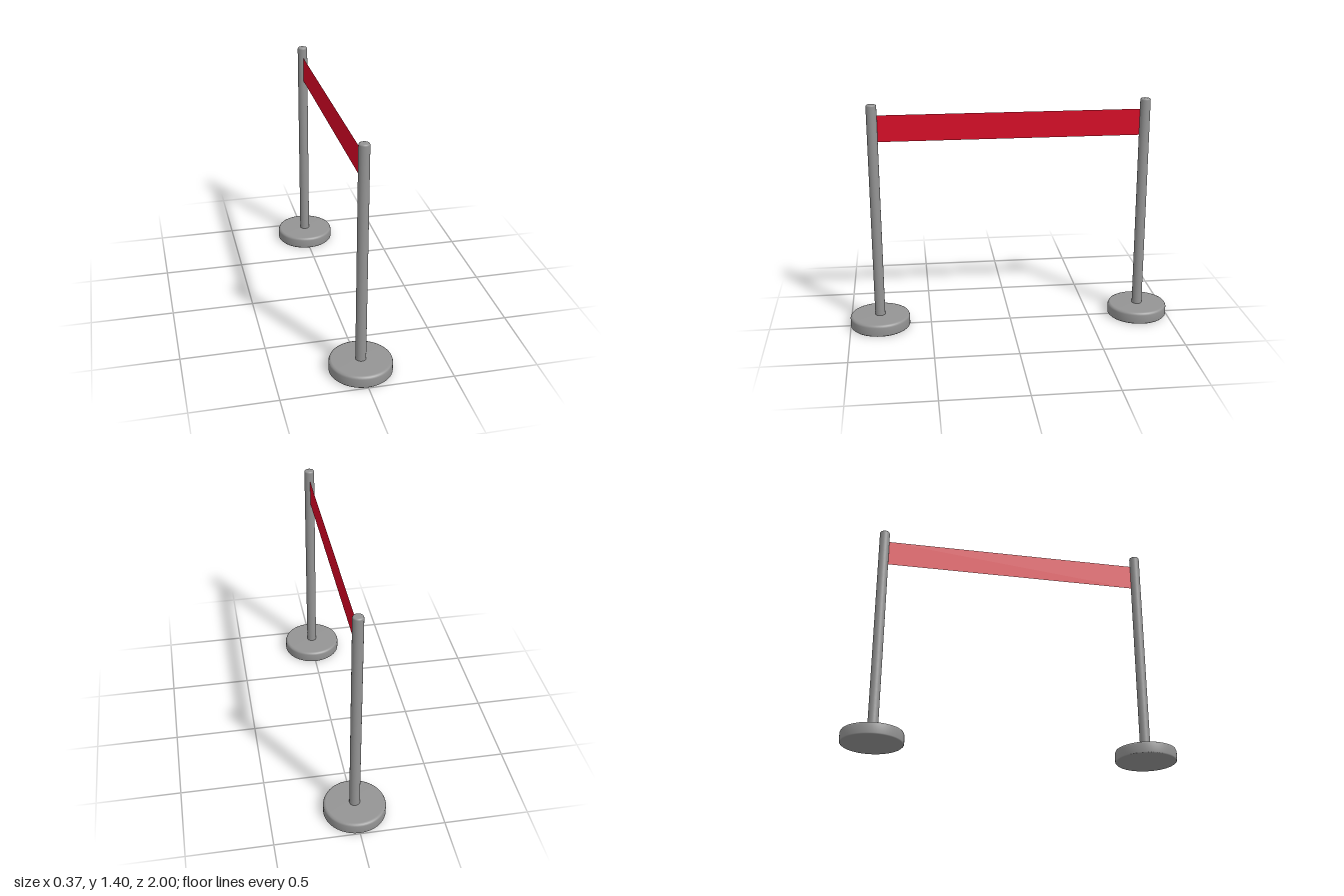
import * as THREE from 'three';

const BASE_RADIUS = 0.184, BASE_HEIGHT = 0.073;
const POST_RADIUS = 0.031, POST_TOP = 1.4;
const POST_Z = 1 - BASE_RADIUS;

// Solid of revolution with a rounded top rim and a chamfered foot,
// shaded smoothly across all its edges
function turnedSolid(radius, bottom, top, round, chamfer, sides) {
  const points = [
    new THREE.Vector2(0, bottom),
    new THREE.Vector2(radius - chamfer, bottom),
    new THREE.Vector2(radius, bottom + chamfer),
  ];
  for (const a of [0, Math.PI / 4, Math.PI / 2]) {
    points.push(new THREE.Vector2(
      radius - round + round * Math.cos(a), top - round + round * Math.sin(a)));
  }
  points.push(new THREE.Vector2(0, top));
  return new THREE.LatheGeometry(points, sides);
}

export function createModel() {
  const model = new THREE.Group();
  model.name = 'barrier';
  const metal = new THREE.MeshStandardMaterial({ color: 0x949494 });
  const fabric = new THREE.MeshStandardMaterial({ color: 0xd80626, side: THREE.DoubleSide });

  // Heavy disc base and slim post
  const baseGeometry = turnedSolid(BASE_RADIUS, 0, BASE_HEIGHT, 0.016, 0.006, 64);
  const postGeometry = turnedSolid(POST_RADIUS, BASE_HEIGHT - 0.01, POST_TOP, 0.009, 0.004, 32);

  // One stand at each end
  for (const [side, label] of [[1, 'front'], [-1, 'back']]) {
    const stand = new THREE.Group();
    stand.name = label + 'Stand';
    const base = new THREE.Mesh(baseGeometry, metal);
    base.name = label + 'Base';
    const post = new THREE.Mesh(postGeometry, metal);
    post.name = label + 'Post';
    stand.add(base, post);
    stand.position.z = side * POST_Z;
    model.add(stand);
  }

  // Thin belt stretched between the posts
  const belt = new THREE.Mesh(new THREE.PlaneGeometry(2 * (POST_Z - POST_RADIUS + 0.005), 0.16), fabric);
  belt.name = 'belt';
  belt.rotation.y = Math.PI / 2;
  belt.position.y = 1.255;
  model.add(belt);

  return model;
}
